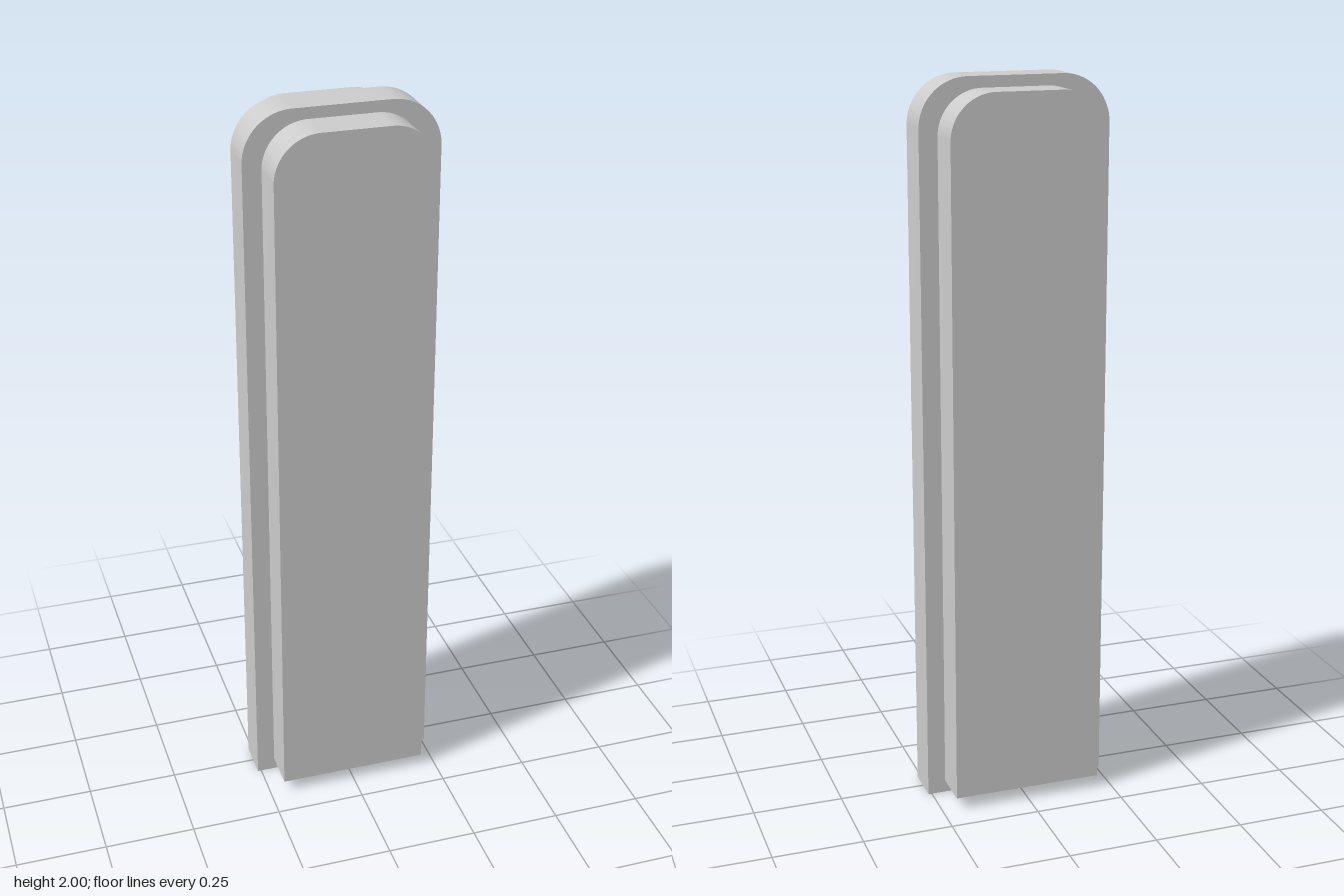
import * as THREE from 'three';
import { toCreasedNormals } from 'three/addons/utils/BufferGeometryUtils.js';

const material = new THREE.MeshStandardMaterial({ color: 0xcccccc });

// Upright slab with square bottom corners and rounded top corners
function slab(name, halfWidth, bottom, top, radius, zBack, zFront) {
  const s = new THREE.Shape();
  s.moveTo(-halfWidth, bottom);
  s.lineTo(halfWidth, bottom);
  s.lineTo(halfWidth, top - radius);
  s.absarc(halfWidth - radius, top - radius, radius, 0, Math.PI / 2, false);
  s.lineTo(-halfWidth + radius, top);
  s.absarc(-halfWidth + radius, top - radius, radius, Math.PI / 2, Math.PI, false);
  s.closePath();
  const geometry = new THREE.ExtrudeGeometry(s, {
    depth: zFront - zBack, bevelEnabled: false, curveSegments: 16,
  });
  geometry.translate(0, 0, zBack);
  const mesh = new THREE.Mesh(toCreasedNormals(geometry, 0.6), material);
  mesh.name = name;
  return mesh;
}

export function createModel() {
  const group = new THREE.Group();
  group.name = 'layeredSlab';
  const coreZ = 0.055, panelZ = 0.167;

  // Wide middle layer
  group.add(slab('core', 0.26, 0, 2, 0.13, -coreZ, coreZ));

  // Smaller raised panels on both faces
  group.add(slab('frontPanel', 0.21, 0.035, 1.97, 0.12, coreZ, panelZ));
  group.add(slab('backPanel', 0.21, 0.035, 1.97, 0.12, -panelZ, -coreZ));
  return group;
}
